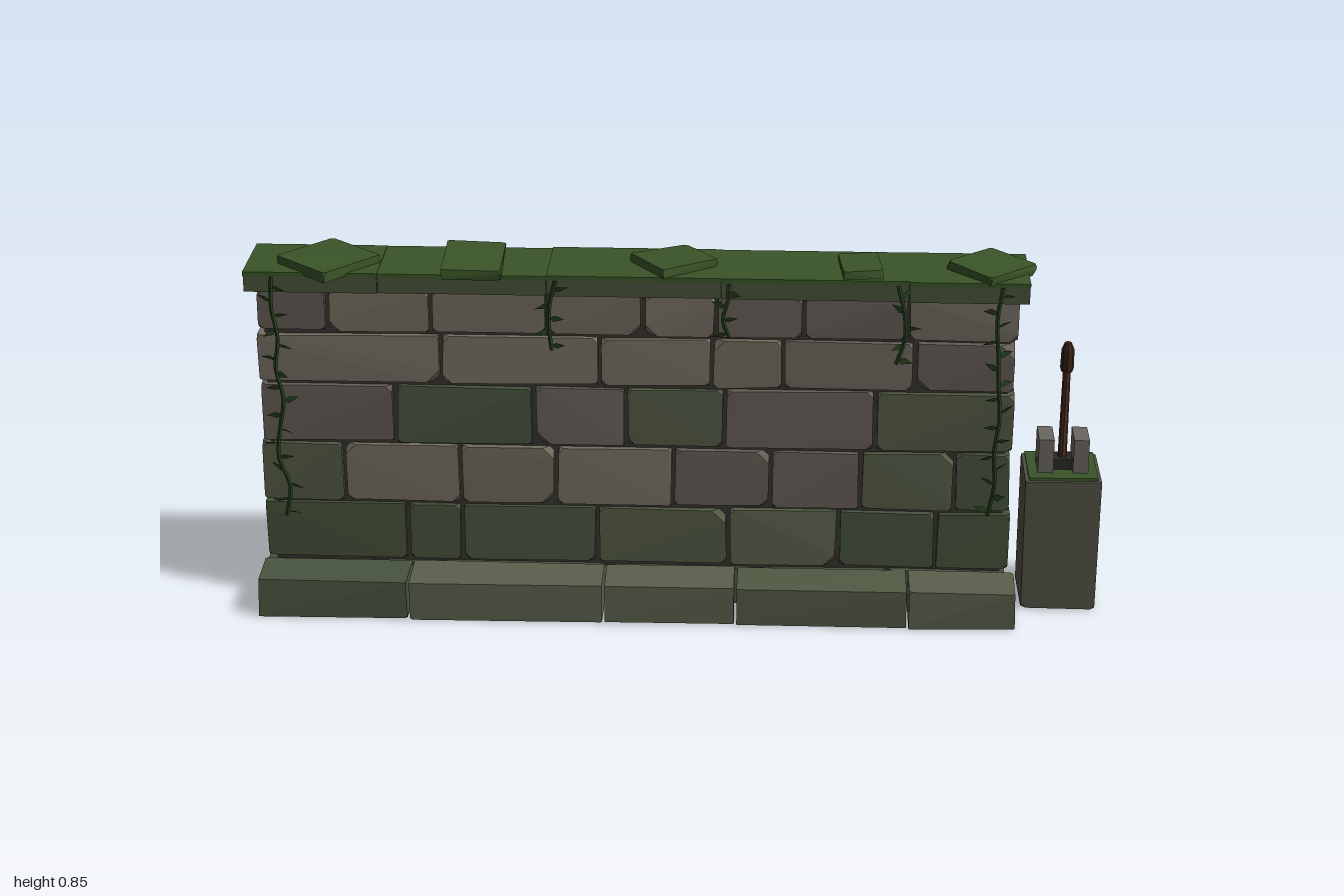
import * as THREE from 'three';
import { ConvexGeometry } from 'three/addons/geometries/ConvexGeometry.js';

let seed = 7;
const rnd = () => {
  seed = (seed * 16807) % 2147483647;
  return seed / 2147483647;
};
const jit = a => (rnd() * 2 - 1) * a;

const mat = (color, extra = {}) => new THREE.MeshStandardMaterial({ color, flatShading: true, ...extra });
const stones = [0x6c655b, 0x756e62, 0x655d56, 0x6f6a5c].map(c => mat(c));
const mossyStones = [0x525a44, 0x5a604c, 0x495440].map(c => mat(c));
const darkStones = [0x3f4a34, 0x465039, 0x4b513f].map(c => mat(c));
const M = {
  mortar: mat(0x34332c), moss: mat(0x3a5528), capSide: mat(0x485238), post: mat(0x525044),
  vine: mat(0x24401c), leaf: mat(0x2c4c22, { side: THREE.DoubleSide }),
  wood: mat(0x4d301f), grip: mat(0x3a2419), bracket: mat(0x6a6660), iron: mat(0x2a2927),
};
const pick = list => list[Math.floor(rnd() * list.length)];

function add(parent, name, geometry, material, x = 0, y = 0, z = 0) {
  const mesh = new THREE.Mesh(geometry, material);
  mesh.name = name;
  mesh.position.set(x, y, z);
  parent.add(mesh);
  return mesh;
}

// Roughly cut block: every corner is nudged and cut off by a small facet
function rockGeometry(w, h, d, chip = 0.012, wobble = 0.004) {
  const pts = [];
  for (const sx of [-1, 1]) for (const sy of [-1, 1]) for (const sz of [-1, 1]) {
    const x = sx * (w / 2 - Math.abs(jit(wobble)));
    const y = sy * (h / 2 - Math.abs(jit(wobble)));
    const z = sz * (d / 2) + jit(wobble);
    const c = chip * (0.4 + rnd() * (rnd() < 0.2 ? 2.4 : 0.9));
    pts.push(new THREE.Vector3(x - sx * c, y, z), new THREE.Vector3(x, y - sy * c, z),
      new THREE.Vector3(x, y, z - sz * c));
  }
  return new ConvexGeometry(pts);
}

// Row of blocks between the given joints
function course(parent, name, joints, y0, y1, z0, z1, choose, gap = 0.006, chip = 0.012) {
  const row = new THREE.Group();
  row.name = name;
  for (let i = 0; i < joints.length - 1; i++) {
    const a = joints[i], b = joints[i + 1];
    add(row, 'block', rockGeometry(b - a - gap, y1 - y0, z1 - z0, chip), choose((a + b) / 2),
      (a + b) / 2, (y0 + y1) / 2, (z0 + z1) / 2 + jit(0.002));
  }
  parent.add(row);
}

// Hanging stem with small pointed leaves to both sides
function vine(parent, x, top, bottom) {
  const g = new THREE.Group();
  g.name = 'vine';
  const pts = [];
  const n = Math.max(3, Math.round((top - bottom) / 0.08));
  for (let i = 0; i <= n; i++) {
    pts.push(new THREE.Vector3(x + jit(0.012), top + (bottom - top) * i / n, 0.055 + jit(0.004)));
  }
  const curve = new THREE.CatmullRomCurve3(pts);
  add(g, 'vineStem', new THREE.TubeGeometry(curve, n * 3, 0.005, 5), M.vine);
  const leafShape = new THREE.Shape();
  leafShape.moveTo(0, 0);
  leafShape.lineTo(0.014, 0.010);
  leafShape.lineTo(0.036, 0.002);
  leafShape.lineTo(0.012, -0.009);
  leafShape.closePath();
  const leafGeometry = new THREE.ShapeGeometry(leafShape);
  const count = Math.round((top - bottom) / 0.035);
  for (let i = 0; i < count; i++) {
    const p = curve.getPoint((i + 0.7) / count);
    const leaf = add(g, 'vineLeaf', leafGeometry, M.leaf, p.x, p.y, p.z);
    leaf.rotation.set(0.5 + jit(0.5), (i % 2 ? Math.PI : 0) + jit(0.6), jit(0.35));
  }
  parent.add(g);
}

export function createModel() {
  seed = 7;
  const model = new THREE.Group();
  model.name = 'wallWithLever';
  const L = -0.98, R = 0.785, back = -0.135, front = 0.035;

  // Wall courses, greener towards the ground
  const wall = new THREE.Group();
  wall.name = 'wall';
  model.add(wall);
  add(wall, 'mortarCore', new THREE.BoxGeometry(R - L - 0.04, 0.76, 0.142), M.mortar, (L + R) / 2, 0.4, -0.05);
  const plain = () => pick(stones);
  const mixed = x => pick(x > 0.5 || rnd() < 0.25 ? mossyStones : stones);
  const low = x => pick(Math.abs(x) > 0.5 ? darkStones : mossyStones);
  const rows = [
    [0.0, 0.095, [-0.56, -0.16, 0.2, 0.5], () => pick(darkStones)],
    [0.102, 0.245, [-0.64, -0.51, -0.19, 0.12, 0.38, 0.61], low],
    [0.252, 0.397, [-0.785, -0.51, -0.285, -0.01, 0.22, 0.43, 0.65], mixed],
    [0.404, 0.548, [-0.66, -0.335, -0.12, 0.11, 0.46], mixed],
    [0.555, 0.673, [-0.55, -0.18, 0.08, 0.245, 0.55], plain],
    [0.68, 0.782, [-0.81, -0.57, -0.3, -0.08, 0.09, 0.29, 0.53], plain],
  ];
  rows.forEach(([y0, y1, joints, choose], i) =>
    course(wall, 'wallCourse', [L + jit(0.006), ...joints, R + (i % 2 ? 0.002 : -0.002)], y0, y1, back, front, choose));

  // Step along the front
  course(model, 'frontStep', [-0.99, -0.63, -0.17, 0.14, 0.545, 0.8], 0, 0.098, 0.033, 0.155,
    () => pick(mossyStones), 0.003, 0.003);

  // Coping slabs with a moss layer on top
  const cap = new THREE.Group();
  cap.name = 'coping';
  model.add(cap);
  const capJoints = [-1, -0.69, -0.3, 0.1, 0.53, 0.805];
  for (let i = 0; i < capJoints.length - 1; i++) {
    const w = capJoints[i + 1] - capJoints[i], x = capJoints[i] + w / 2;
    const d = 0.198 + jit(0.006), z = -0.052 + jit(0.004);
    add(cap, 'copingSlab', new THREE.BoxGeometry(w - 0.002, 0.04, d), M.capSide, x, 0.799, z);
    add(cap, 'copingMoss', new THREE.BoxGeometry(w, 0.01, d + 0.002), M.moss, x, 0.822 + jit(0.002), z);
  }

  // Loose moss slabs: x, z, width, depth, turn
  for (const [x, z, w, d, turn] of [
    [-0.81, -0.025, 0.17, 0.165, -0.72], [-0.475, -0.03, 0.14, 0.195, 0.03],
    [-0.01, -0.05, 0.155, 0.135, 0.6], [0.42, -0.03, 0.095, 0.13, 0.1], [0.72, -0.04, 0.15, 0.14, 0.75],
  ]) {
    const slab = add(model, 'mossSlab', rockGeometry(w, 0.028, d, 0.006), M.moss, x, 0.835, z);
    slab.rotation.set(jit(0.03), turn, jit(0.03));
  }

  // Vines
  for (const [x, top, bottom] of [[-0.925, 0.82, 0.22], [-0.285, 0.82, 0.65], [0.115, 0.82, 0.69],
    [0.515, 0.82, 0.63], [0.735, 0.82, 0.25]]) vine(model, x, top, bottom);

  // Lever post
  const lever = new THREE.Group();
  lever.name = 'leverPost';
  lever.position.set(0.905, 0, -0.05);
  model.add(lever);
  add(lever, 'post', rockGeometry(0.18, 0.335, 0.175, 0.008), M.post, 0, 0.1675, 0);
  add(lever, 'postMoss', rockGeometry(0.165, 0.014, 0.16, 0.003, 0.003), M.moss, 0, 0.333, 0);

  // Brackets, pivot and handle
  for (const s of [-1, 1]) {
    add(lever, 'bracket', new THREE.BoxGeometry(0.036, 0.085, 0.084), M.bracket, s * 0.041, 0.38, 0.007);
  }
  add(lever, 'pivot', new THREE.CylinderGeometry(0.007, 0.007, 0.124, 8).rotateZ(Math.PI / 2), M.iron, 0, 0.355, 0.007);
  add(lever, 'leverFoot', new THREE.BoxGeometry(0.045, 0.03, 0.045), M.iron, 0, 0.35, 0.007);
  add(lever, 'handle', new THREE.CylinderGeometry(0.009, 0.011, 0.25, 8), M.wood, 0, 0.465, 0.007);
  const grip = [[0, 0.58], [0.013, 0.58], [0.016, 0.59], [0.015, 0.635], [0.008, 0.652], [0, 0.655]];
  add(lever, 'grip', new THREE.LatheGeometry(grip.map(p => new THREE.Vector2(...p)), 8), M.grip, 0, 0, 0.007);

  return model;
}
